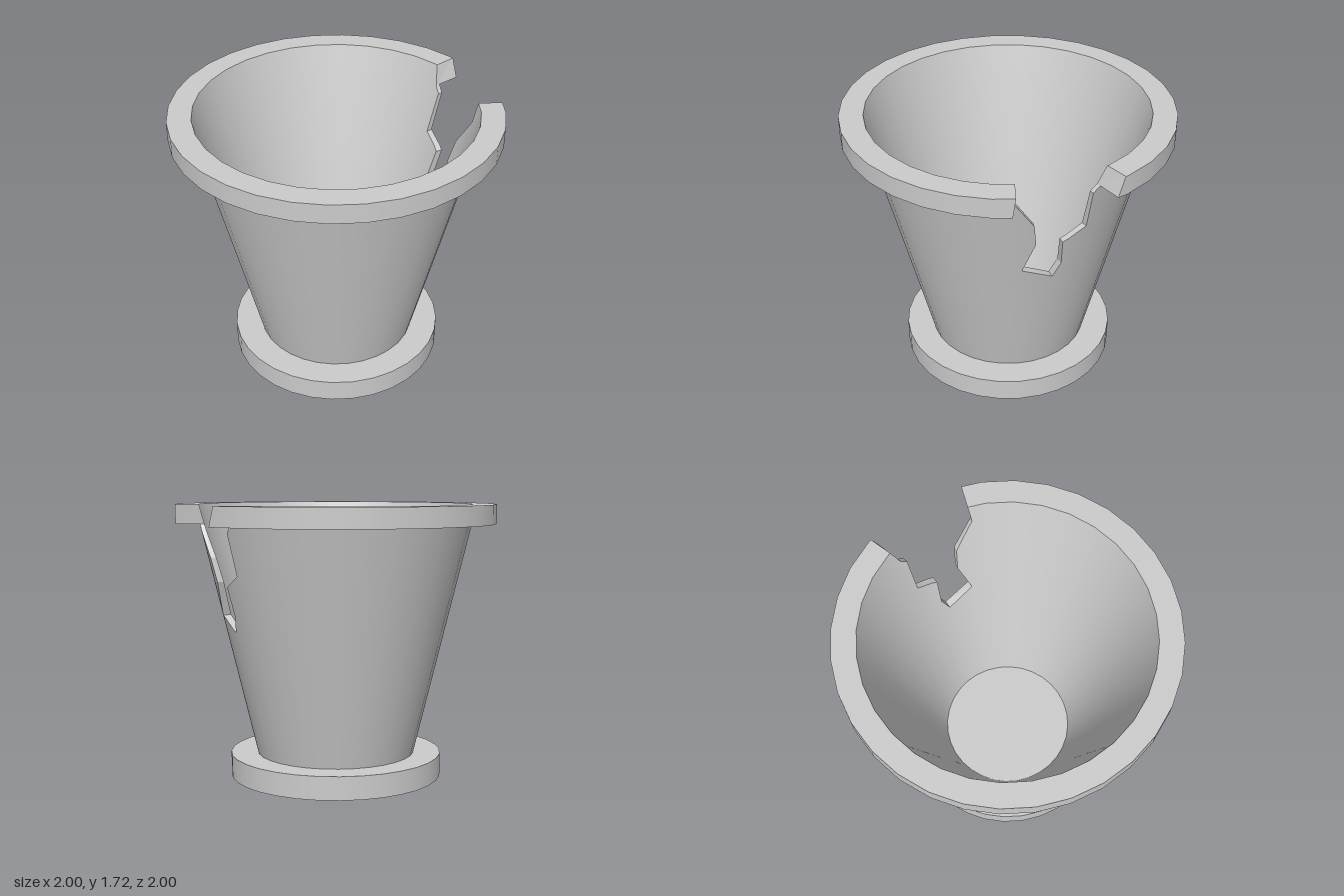
import * as THREE from 'three';

const SIDES = 32, STEP = 360 / SIDES, RAD = Math.PI / 180;
const BASE = 0.145, LIP = 1.6, TOP = 1.72;

// The break in the wall: [height, angle] down each side, angles in degrees from +x towards +z
const TIP = [0.95, 29.5];
const frontBreak = [[BASE, 29.5], TIP, [1.04, 45], [1.25, 39.5], [1.4, 40.9], [LIP, 50], [TOP, 49]];
const sideBreak = [[BASE, 29.5], TIP, [1.05, 26], [1.23, 27.3], [1.305, 16.6], [1.56, 17.4], [LIP, 14.8], [TOP, 12.3]];
const HEIGHTS = [...new Set([...frontBreak, ...sideBreak].map(p => p[0]))].sort((a, b) => a - b);

const mix = (x, x0, y0, x1, y1) => y0 + (y1 - y0) * (x - x0) / (x1 - x0);
function angleAt(edge, y) {
  let i = 0;
  while (i < edge.length - 2 && y > edge[i + 1][0]) i++;
  return mix(y, ...edge[i], ...edge[i + 1]);
}
const outerRadius = y => mix(y, BASE, 0.5, LIP, 0.85);
const innerRadius = y => mix(y, BASE, 0.42, TOP, 0.855);

// Point on the many-sided ring of radius r
function ringPoint(r, y, deg) {
  const mid = (Math.floor(deg / STEP) + 0.5) * STEP;
  const d = r * Math.cos(STEP / 2 * RAD) / Math.cos((deg - mid) * RAD);
  return [d * Math.cos(deg * RAD), y, d * Math.sin(deg * RAD)];
}

// Ring angles, running from one side of the break round to the other
const COLUMNS = [TIP[1]];
for (let a = Math.ceil(TIP[1] / STEP) * STEP; a < TIP[1] + 360; a += STEP) COLUMNS.push(a);
COLUMNS.push(TIP[1] + 360);

// Surface swept round the axis through [radius, height] points, stopped at the break
function sweep(profile) {
  const pos = [], nor = [], idx = [], n = COLUMNS.length;
  const [r0, y0] = profile[0], [r1, y1] = profile[profile.length - 1];
  const len = Math.hypot(r1 - r0, y1 - y0), nr = (y1 - y0) / len, ny = (r0 - r1) / len;
  profile.forEach(([r, y], i) => COLUMNS.forEach((c, j) => {
    const a = Math.min(Math.max(c, angleAt(frontBreak, y)), 360 + angleAt(sideBreak, y));
    pos.push(...ringPoint(r, y, a));
    nor.push(nr * Math.cos(a * RAD), ny, nr * Math.sin(a * RAD));
    if (i && j) {
      const b = i * n + j, d = b - n;
      idx.push(d - 1, b - 1, d, d, b - 1, b);
    }
  }));
  const g = new THREE.BufferGeometry();
  g.setAttribute('position', new THREE.Float32BufferAttribute(pos, 3));
  g.setAttribute('normal', new THREE.Float32BufferAttribute(nor, 3));
  g.setIndex(idx);
  return g;
}

// Flat faces through the wall thickness along one side of the break
function brokenFaces(edge, flip) {
  const pos = [], ys = HEIGHTS.filter(y => y >= TIP[0]);
  for (let i = 0; i < ys.length - 1; i++) {
    const lo = ys[i], hi = ys[i + 1], rim = lo >= LIP;
    const at = (y, outer) =>
      ringPoint(outer ? (rim ? 1 : outerRadius(y)) : innerRadius(y), y, angleAt(edge, y));
    const q = [at(lo, false), at(lo, true), at(hi, true), at(hi, false)];
    if (flip) q.reverse();
    pos.push(...q[0], ...q[1], ...q[2], ...q[0], ...q[2], ...q[3]);
  }
  const g = new THREE.BufferGeometry();
  g.setAttribute('position', new THREE.Float32BufferAttribute(pos, 3));
  g.computeVertexNormals();
  return g;
}

export function createModel() {
  const model = new THREE.Group();
  model.name = 'brokenPot';
  const material = new THREE.MeshStandardMaterial({ color: 0xcccccc });
  const add = (name, geometry) => {
    const mesh = new THREE.Mesh(geometry, material);
    mesh.name = name;
    model.add(mesh);
    return mesh;
  };

  // Saucer, whose top is also the floor of the pot
  add('saucer', new THREE.CylinderGeometry(0.67, 0.67, BASE, SIDES)).position.y = BASE / 2;

  // Tapered wall
  add('outerWall', sweep(HEIGHTS.filter(y => y <= LIP).map(y => [outerRadius(y), y])));
  add('innerWall', sweep([...HEIGHTS].reverse().map(y => [innerRadius(y), y])));

  // Rim
  add('rimUnderside', sweep([[0.85, LIP], [1, LIP]]));
  add('rimSide', sweep([[1, LIP], [1, TOP]]));
  add('rimTop', sweep([[1, TOP], [0.855, TOP]]));

  // Broken edges
  add('frontBrokenEdge', brokenFaces(frontBreak, true));
  add('sideBrokenEdge', brokenFaces(sideBreak, false));
  return model;
}
